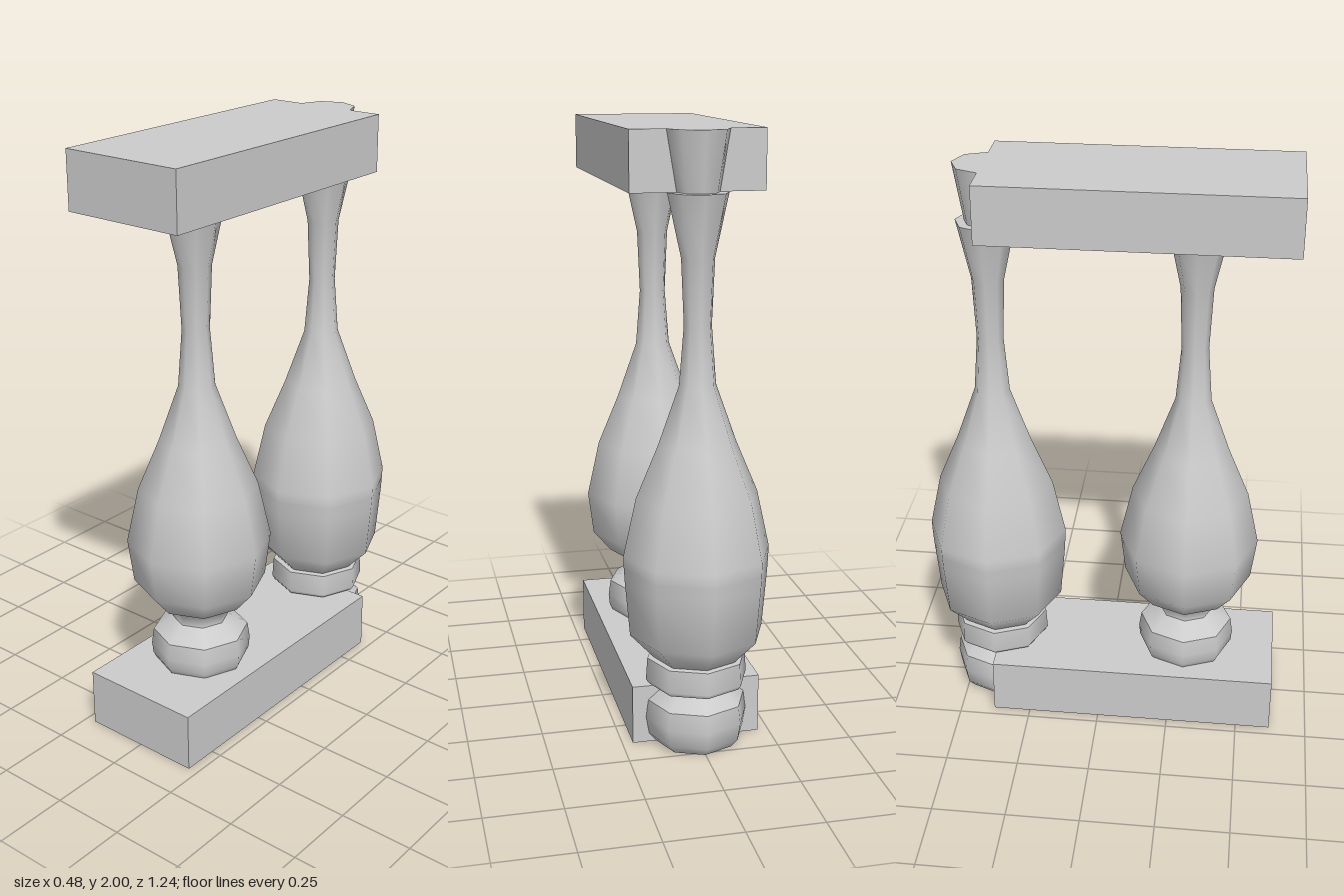
import * as THREE from 'three';

const material = new THREE.MeshStandardMaterial({ color: 0xcccccc });
const FRONT_Z = 0.3, BACK_Z = -0.38;

// Turned part: each profile [radius, y] is smooth, with a crease between profiles
function turned(name, profiles, z, half = false) {
  const group = new THREE.Group();
  group.name = name;
  profiles.forEach((profile, i) => {
    const points = profile.map(([r, y]) => new THREE.Vector2(r, y));
    const geometry = half
      ? new THREE.LatheGeometry(points, 4, Math.PI / 2, Math.PI)
      : new THREE.LatheGeometry(points, 8);
    const mesh = new THREE.Mesh(geometry, material);
    mesh.name = `${name}Section${i + 1}`;
    group.add(mesh);
  });
  group.position.z = z;
  return group;
}

function rail(name, y0, y1) {
  const depth = 0.62 - BACK_Z;
  const mesh = new THREE.Mesh(new THREE.BoxGeometry(0.43, y1 - y0, depth), material);
  mesh.name = name;
  mesh.position.set(0, (y0 + y1) / 2, BACK_Z + depth / 2);
  return mesh;
}

export function createModel() {
  const model = new THREE.Group();
  model.name = 'balustrade';
  model.add(rail('bottomRail', 0, 0.2), rail('topRail', 1.81, 2));

  // Upper bulb and slender neck shared by both balusters
  const upper = [
    [0.242, 0.66], [0.2, 0.85], [0.128, 1.02], [0.06, 1.21],
    [0.045, 1.4], [0.054, 1.61], [0.098, 1.81],
  ];

  // Front baluster: rounded foot, collar, bulb
  model.add(turned('frontBaluster', [
    [[0.155, 0.2], [0.166, 0.22], [0.17, 0.26], [0.162, 0.315]],
    [[0.162, 0.315], [0.095, 0.36]],
    [[0.095, 0.36], [0.093, 0.395], [0.13, 0.42], [0.16, 0.435], [0.223, 0.51], ...upper],
  ], FRONT_Z));

  // Back baluster: plain ring and a longer bulb
  model.add(turned('backBaluster', [
    [[0, 0.21], [0.16, 0.21]],
    [[0.16, 0.21], [0.17, 0.225], [0.165, 0.3]],
    [[0.165, 0.3], [0.145, 0.302]],
    [[0.145, 0.302], [0.222, 0.385], [0.238, 0.57], [0.241, 0.62]],
    [[0.241, 0.62], ...upper],
    [[0.098, 1.81], [0, 1.81]],
  ], BACK_Z));

  // Half-round mouldings on the back ends of the rails
  model.add(turned('backFoot', [
    [[0, 0], [0.135, 0]],
    [[0.135, 0], [0.16, 0.03], [0.17, 0.09], [0.162, 0.15]],
    [[0.162, 0.15], [0.11, 0.195]],
    [[0.11, 0.195], [0.11, 0.21]],
  ], BACK_Z, true));
  model.add(turned('backCapital', [
    [[0, 1.81], [0.068, 1.81]],
    [[0.068, 1.81], [0.1, 2]],
    [[0.1, 2], [0, 2]],
  ], BACK_Z, true));

  return model;
}
